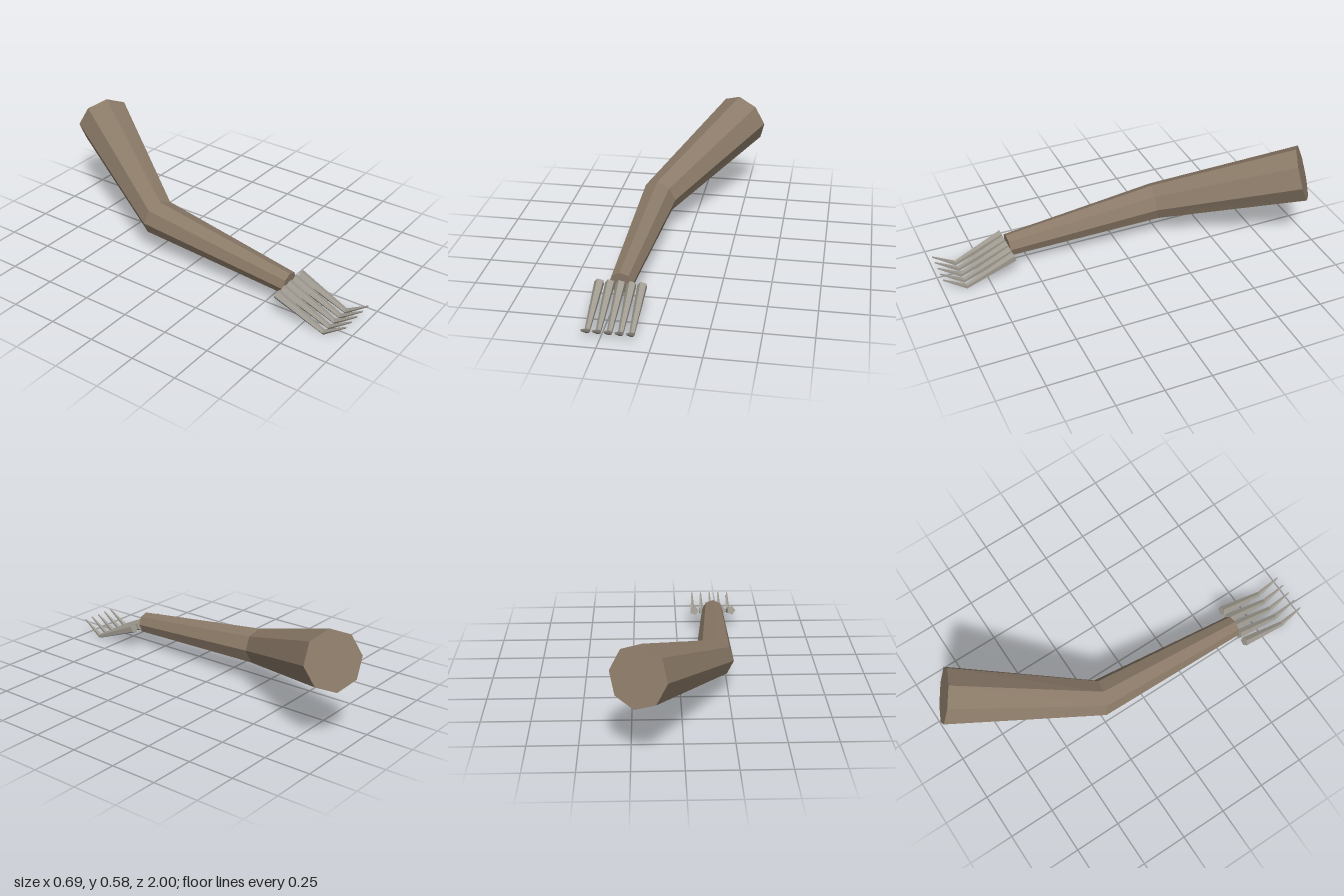
import * as THREE from 'three';

// Closed faceted loft. Rings run from back (-z) to front (+z);
// each ring is { c: centre, u: sideways radius, v: upward radius }.
function loft(rings, sides) {
  const positions = [];
  const point = (ring, i) => {
    const a = ((i % sides) / sides) * Math.PI * 2 + (ring.turn || 0);
    return ring.c.map((c, k) => c + ring.u[k] * Math.cos(a) + ring.v[k] * Math.sin(a));
  };
  const tri = (a, b, c) => positions.push(...a, ...b, ...c);
  const first = rings[0];
  const last = rings[rings.length - 1];
  for (let i = 0; i < sides; i++) {
    for (let r = 0; r < rings.length - 1; r++) {
      const a = point(rings[r], i), b = point(rings[r], i + 1);
      const c = point(rings[r + 1], i + 1), d = point(rings[r + 1], i);
      tri(a, b, c);
      tri(a, c, d);
    }
    // End caps
    tri(first.c, point(first, i + 1), point(first, i));
    tri(last.c, point(last, i), point(last, i + 1));
  }
  const geometry = new THREE.BufferGeometry();
  geometry.setAttribute('position', new THREE.Float32BufferAttribute(positions, 3));
  geometry.computeVertexNormals();
  return geometry;
}

export function createModel() {
  const model = new THREE.Group();
  model.name = 'clawedArm';

  const brown = new THREE.MeshStandardMaterial({ color: 0x8b7a68, flatShading: true });
  brown.name = 'brown';
  const boneGrey = new THREE.MeshStandardMaterial({ color: 0x9f9b91, flatShading: true });
  boneGrey.name = 'bone grey';

  // Bent eight-sided arm: shoulder, elbow, wrist
  const arm = new THREE.Mesh(loft([
    { c: [0.21, 0.44, -0.92], u: [0.133, -0.002, 0.077], v: [-0.02, 0.145, 0.04] },
    { c: [-0.175, 0.208, -0.23], u: [0.097, 0.003, 0.025], v: [-0.008, 0.098, 0.015] },
    { c: [-0.21, 0.132, 0.612], u: [0.06, 0.004, 0], v: [-0.005, 0.06, 0.005] },
  ], 8), brown);
  arm.name = 'arm';
  model.add(arm);

  // Five-sided claw that dips down, then hooks upward to a fine tip
  const clawRing = (y, z, r, vy, vz) =>
    ({ c: [0, y, z], u: [r, 0, 0], v: [0, r * vy, r * vz], turn: Math.PI });
  const clawGeometry = loft([
    clawRing(0.129, 0.61, 0.026, 0.95, 0.33),
    clawRing(0.0145, 0.88, 0.014, 1, -0.1),
    clawRing(0.091, 0.998, 0.004, 0.83, -0.55),
  ], 5);
  const claws = new THREE.Group();
  claws.name = 'claws';
  for (let i = 0; i < 5; i++) {
    const claw = new THREE.Mesh(clawGeometry, boneGrey);
    claw.name = 'claw' + (i + 1);
    claw.position.x = -0.319 + i * 0.0537;
    claws.add(claw);
  }
  model.add(claws);

  return model;
}
